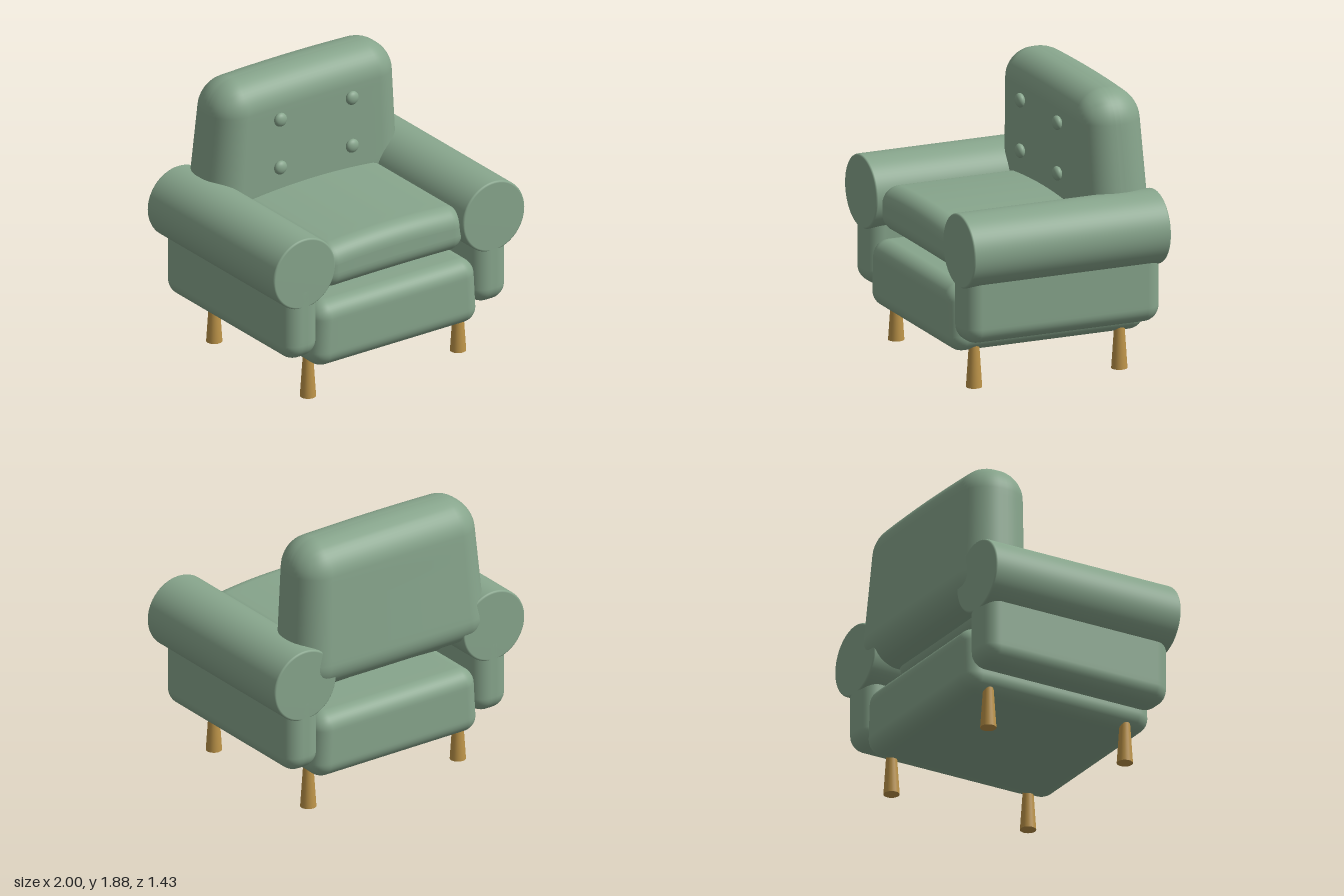
import * as THREE from 'three';
import { mergeVertices } from 'three/addons/utils/BufferGeometryUtils.js';

// Pillow-like box: rounded by radius r, then reshaped by an optional rule
function softBox(w, h, d, r, reshape) {
  const n = 24;
  const geo = new THREE.BoxGeometry(2, 2, 2, n, n, n);
  const inner = new THREE.Vector3(w / 2 - r, h / 2 - r, d / 2 - r);
  const pos = geo.attributes.position;
  const p = new THREE.Vector3(), core = new THREE.Vector3();
  // half of the grid lines cover the flat part, the rest the rounded edges
  const spread = (u, flat) => {
    const a = Math.abs(u);
    const v = a <= 0.5 ? a * 2 * flat : flat + r * Math.tan((a - 0.5) * Math.PI / 2);
    return Math.sign(u) * v;
  };
  for (let i = 0; i < pos.count; i++) {
    p.fromBufferAttribute(pos, i);
    p.set(spread(p.x, inner.x), spread(p.y, inner.y), spread(p.z, inner.z));
    core.copy(p).clamp(inner.clone().negate(), inner);
    p.sub(core).setLength(r).add(core);
    if (reshape) reshape(p);
    pos.setXYZ(i, p.x, p.y, p.z);
  }
  geo.deleteAttribute('uv');
  geo.deleteAttribute('normal');
  const smooth = mergeVertices(geo, 1e-5);
  smooth.computeVertexNormals();
  return smooth;
}

export function createModel() {
  const model = new THREE.Group();
  model.name = 'armchair';
  const fabric = new THREE.MeshStandardMaterial({ color: 0x87a58c });
  fabric.name = 'sage fabric';
  const wood = new THREE.MeshStandardMaterial({ color: 0xbd9449 });
  wood.name = 'light wood';

  const add = (name, geo, mat, x, y, z) => {
    const mesh = new THREE.Mesh(geo, mat);
    mesh.name = name;
    mesh.position.set(x, y, z);
    model.add(mesh);
    return mesh;
  };

  // Base, slightly narrower towards the top
  const base = softBox(1.3, 0.455, 1.4, 0.11, (p) => {
    p.x *= 1 - 0.09 * p.y;
  });
  add('base', base, fabric, 0, 0.4725, 0.01);

  // Seat cushion, crowned on top and lightly arched below
  const cushion = softBox(1.16, 0.3, 1.18, 0.12, (p) => {
    const crown = Math.max(0, 1 - (p.x / 0.58) ** 2);
    p.y += crown * (p.y > 0 ? 0.037 : 0.015);
    if (p.z > 0) p.z += 0.015 * crown;
  });
  add('seatCushion', cushion, fabric, 0, 0.912, 0.085);

  // Backrest, thicker and wider at the bottom, with a gently bowed back
  const back = softBox(1.49, 1.0, 0.44, 0.2, (p) => {
    const t = p.y + 0.5;
    const bow = Math.max(0, 1 - (p.x / 0.74) ** 2);
    p.x *= 1.043 - 0.11 * t;
    p.z = p.z * (1.07 - 0.11 * t) - 0.482 + 0.045 * t - (p.z < -0.1 ? 0.012 * bow : 0);
    if (p.y > 0.2) p.y += 0.012 * bow;
  });
  add('backrest', back, fabric, 0, 1.368, 0);

  // Arms: a padded side panel under a thick roll
  const rollProfile = [
    [0, -0.7], [0.232, -0.7], [0.238, -0.699], [0.243, -0.695], [0.246, -0.688],
    [0.246, 0.688], [0.243, 0.695], [0.238, 0.699], [0.232, 0.7], [0, 0.7],
  ].map(([r, y]) => new THREE.Vector2(r, y));
  const roll = new THREE.LatheGeometry(rollProfile, 64);
  roll.rotateX(Math.PI / 2);
  const panel = softBox(0.27, 0.6, 1.4, 0.11);
  for (const side of [-1, 1]) {
    const label = side > 0 ? 'left' : 'right';
    add(label + 'ArmPanel', panel, fabric, side * 0.75, 0.655, 0.01);
    add(label + 'ArmRoll', roll, fabric, side * 0.753, 0.975, 0.01);
  }

  // Tufting buttons on the backrest
  const button = new THREE.SphereGeometry(0.047, 24, 16);
  button.scale(1, 1, 0.64);
  for (const x of [-0.285, 0.285]) {
    for (const y of [1.26, 1.6]) add('button', button, fabric, x, y, -0.206);
  }

  // Tapered legs, wider at the floor
  const leg = new THREE.CylinderGeometry(0.034, 0.053, 0.285, 24);
  for (const x of [-0.597, 0.597]) {
    for (const z of [0.528, -0.505]) {
      add(z > 0 ? 'frontLeg' : 'backLeg', leg, wood, x, 0.1425, z);
    }
  }
  return model;
}
